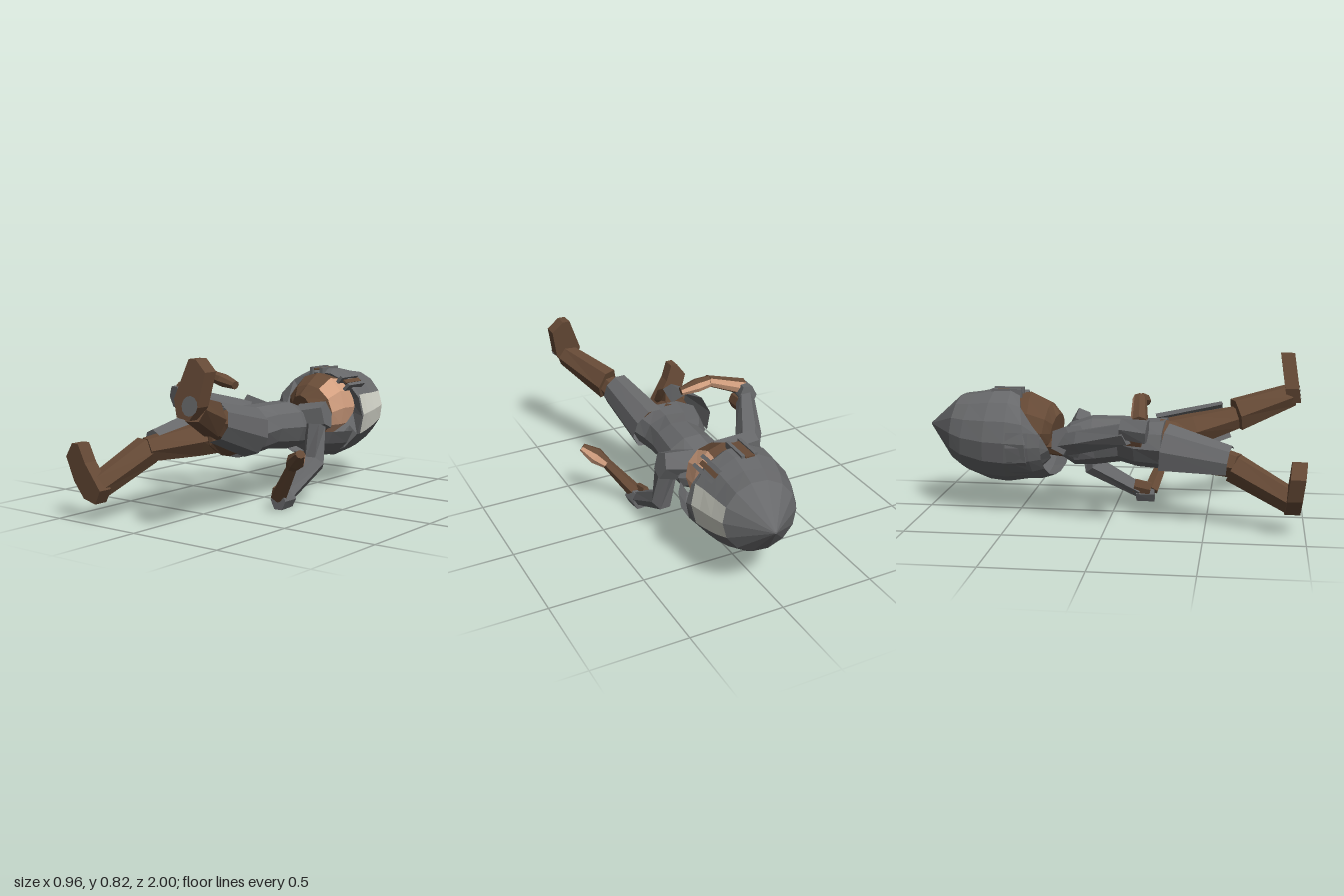
import * as THREE from 'three';

const flat = (name, color) => new THREE.MeshStandardMaterial({ name, color, flatShading: true, side: THREE.DoubleSide });

export function createModel() {
  const grey = flat('grey cloth', 0x67686a);
  const brown = flat('brown', 0x664a36);
  const peach = flat('peach skin', 0xd3a080);
  const cream = flat('cream', 0xd2d3c8);
  const model = new THREE.Group();
  const add = (name, geometry, material) => {
    const mesh = new THREE.Mesh(geometry, material);
    mesh.name = name;
    model.add(mesh);
    return mesh;
  };

  // Faceted loft through stations [x, y, z, halfWidth, halfHeight].
  // pick(station, side) chooses the material; an arc [start, end] in degrees makes an open shell.
  function loft(name, stations, sides, base, { pick = () => base, arc = null } = {}) {
    const centres = stations.map(s => new THREE.Vector3(s[0], s[1], s[2]));
    const start = arc ? arc[0] * Math.PI / 180 : 0;
    const sweep = arc ? (arc[1] - arc[0]) * Math.PI / 180 : Math.PI * 2;
    const rings = stations.map((s, i) => {
      const t = centres[Math.min(i + 1, centres.length - 1)].clone().sub(centres[Math.max(i - 1, 0)]).normalize();
      const side = new THREE.Vector3(0, 1, 0).cross(t).normalize();
      const up = t.clone().cross(side);
      return Array.from({ length: sides + 1 }, (_, j) => {
        const a = start + sweep * j / sides;
        return centres[i].clone().addScaledVector(side, Math.cos(a) * s[3]).addScaledVector(up, Math.sin(a) * s[4]);
      });
    });
    const buckets = new Map();
    const tri = (m, ...pts) => {
      if (!buckets.has(m)) buckets.set(m, []);
      pts.forEach(p => buckets.get(m).push(p.x, p.y, p.z));
    };
    for (let i = 0; i < rings.length - 1; i++) {
      for (let j = 0; j < sides; j++) {
        const [a, b, c, d] = [rings[i][j], rings[i][j + 1], rings[i + 1][j + 1], rings[i + 1][j]];
        tri(pick(i, j), a, b, c);
        tri(pick(i, j), a, c, d);
      }
    }
    if (!arc) {
      const n = rings.length - 1;
      for (let j = 0; j < sides; j++) {
        tri(base, centres[0], rings[0][j + 1], rings[0][j]);
        tri(base, centres[n], rings[n][j], rings[n][j + 1]);
      }
    }
    const geometry = new THREE.BufferGeometry();
    const positions = [];
    const materials = [];
    for (const [m, list] of buckets) {
      geometry.addGroup(positions.length / 3, list.length / 3, materials.length);
      materials.push(m);
      for (const v of list) positions.push(v);
    }
    geometry.setAttribute('position', new THREE.Float32BufferAttribute(positions, 3));
    geometry.computeVertexNormals();
    return add(name, geometry, materials);
  }

  // Hair cap with a cream patch on the left side, and the nape shell
  loft('hair', [
    [0.06, 0.45, -1, 0.005, 0.005], [0.045, 0.44, -0.83, 0.188, 0.184], [0.03, 0.425, -0.75, 0.215, 0.215],
    [0.015, 0.415, -0.64, 0.24, 0.245], [0.015, 0.412, -0.55, 0.252, 0.252],
    [0.02, 0.408, -0.48, 0.262, 0.232], [0.03, 0.42, -0.465, 0.19, 0.19],
  ], 14, grey, { pick: (i, j) => ([1, 2, 3].includes(i) && (j === 0 || j === 13) ? cream : grey) });
  loft('napeHair', [
    [0.02, 0.408, -0.49, 0.262, 0.235], [0, 0.408, -0.37, 0.235, 0.225], [-0.02, 0.408, -0.3, 0.205, 0.2],
  ], 9, grey, { arc: [165, 342] });

  // Raised fringe strands around narrow brown partings
  for (const [x, y, tilt] of [[-0.035, 0.642, 0], [0.032, 0.642, 0], [0.155, 0.606, -0.75], [0.2, 0.568, -0.75]]) {
    const strand = add('fringeStrand', new THREE.BoxGeometry(0.018, 0.045, 0.16), grey);
    strand.position.set(x, y, -0.56);
    strand.rotation.z = tilt;
  }
  for (const [x, y, width, tilt] of [[-0.003, 0.653, 0.05, 0], [0.18, 0.594, 0.025, -0.75]]) {
    const parting = add('fringeParting', new THREE.BoxGeometry(width, 0.009, 0.15), brown);
    parting.position.set(x, y, -0.57);
    parting.rotation.z = tilt;
  }

  // Face and neck, mostly brown with a peach left side
  loft('face', [
    [0.035, 0.45, -0.58, 0.165, 0.17], [0.035, 0.455, -0.45, 0.168, 0.185],
    [0.045, 0.44, -0.36, 0.148, 0.148], [0.03, 0.43, -0.305, 0.085, 0.1],
  ], 12, brown, { pick: (i, j) => ([0, 1, 10, 11].includes(j) && i < 2 ? peach : brown) });
  const leftSide = (i, j) => (j === 0 || j === 7 ? peach : brown);
  loft('neck', [[0.01, 0.36, -0.38, 0.05, 0.05], [0, 0.36, -0.23, 0.07, 0.065]], 8, brown, { pick: leftSide });

  // Tunic and pelvis
  loft('torso', [
    [0.01, 0.37, -0.27, 0.08, 0.07], [0.02, 0.37, -0.22, 0.16, 0.11], [0.035, 0.39, -0.1, 0.15, 0.13],
    [0.03, 0.4, 0.05, 0.14, 0.12], [0, 0.39, 0.15, 0.17, 0.125], [-0.01, 0.39, 0.28, 0.2, 0.13],
  ], 10, grey);
  loft('pelvis', [
    [-0.01, 0.39, 0.25, 0.17, 0.13], [-0.01, 0.39, 0.34, 0.12, 0.11], [-0.01, 0.39, 0.43, 0.015, 0.05],
  ], 8, brown);

  // Shoulders and upper arms
  loft('leftShoulder', [[0.1, 0.41, -0.19, 0.08, 0.09], [0.26, 0.45, -0.205, 0.055, 0.075]], 5, grey);
  loft('rightShoulder', [[-0.08, 0.4, -0.19, 0.07, 0.09], [-0.29, 0.45, -0.23, 0.06, 0.075]], 5, grey);
  loft('leftUpperArm', [[0.21, 0.4, -0.17, 0.055, 0.06], [0.225, 0.2, -0.14, 0.058, 0.06], [0.23, 0.065, 0.12, 0.045, 0.04]], 6, grey);
  loft('rightUpperArm', [[-0.24, 0.42, -0.22, 0.06, 0.065], [-0.3, 0.45, -0.12, 0.068, 0.065], [-0.415, 0.52, 0.12, 0.05, 0.06]], 6, grey);

  // Brown sleeve bands and grey elbow cuffs
  loft('leftSleeveBand', [[0.205, 0.1, 0.09, 0.025, 0.04], [0.21, 0.08, 0.18, 0.025, 0.04]], 6, brown);
  loft('rightSleeveBand', [[-0.38, 0.5, 0.07, 0.035, 0.045], [-0.385, 0.49, 0.19, 0.035, 0.045]], 6, brown);
  loft('leftElbow', [[0.235, 0.053, 0.1, 0.045, 0.05], [0.24, 0.053, 0.2, 0.045, 0.053]], 6, grey);
  loft('rightElbow', [[-0.415, 0.55, 0.09, 0.05, 0.06], [-0.43, 0.535, 0.22, 0.045, 0.065]], 6, grey);

  // Forearms and hands, peach on the outer sides
  loft('leftForearm', [[0.23, 0.07, 0.18, 0.045, 0.04], [0.38, 0.27, 0.26, 0.03, 0.025]], 6, brown);
  loft('leftHand', [[0.365, 0.25, 0.25, 0.033, 0.028], [0.41, 0.29, 0.285, 0.048, 0.045], [0.47, 0.335, 0.33, 0.025, 0.022]], 8, brown, { pick: leftSide });
  loft('rightForearm', [[-0.42, 0.57, 0.18, 0.045, 0.045], [-0.2, 0.66, 0.16, 0.035, 0.03]], 8, brown, { pick: leftSide });
  loft('rightHand', [[-0.22, 0.655, 0.16, 0.035, 0.03], [-0.14, 0.64, 0.17, 0.042, 0.036], [-0.05, 0.62, 0.18, 0.025, 0.022]], 8, brown, { pick: leftSide });

  // Legs with open cloth panels over the outer thighs
  loft('leftThigh', [[0.08, 0.41, 0.28, 0.09, 0.1], [0.11, 0.445, 0.42, 0.09, 0.09], [0.175, 0.5, 0.64, 0.055, 0.065]], 6, brown);
  loft('rightThigh', [[-0.1, 0.37, 0.28, 0.09, 0.1], [-0.13, 0.36, 0.42, 0.1, 0.09], [-0.23, 0.33, 0.66, 0.06, 0.065]], 6, brown);
  loft('leftThighPanel', [[0.095, 0.4, 0.25, 0.115, 0.13], [0.145, 0.495, 0.59, 0.085, 0.1]], 5, grey, { arc: [-95, 115] });
  loft('rightThighPanel', [[-0.15, 0.38, 0.29, 0.13, 0.145], [-0.215, 0.34, 0.62, 0.078, 0.09]], 4, grey, { arc: [46, 214] });
  loft('leftShin', [[0.18, 0.515, 0.64, 0.07, 0.095], [0.31, 0.605, 0.93, 0.06, 0.065]], 6, brown);
  loft('rightShin', [[-0.245, 0.325, 0.64, 0.075, 0.078], [-0.305, 0.175, 0.93, 0.058, 0.068]], 6, brown);

  // Feet: sole outlines facing forward, leaned toward the toes
  function foot(name, outline, lean, heelY, heelZ) {
    const shape = new THREE.Shape(outline.map(p => new THREE.Vector2(...p)));
    const geometry = new THREE.ExtrudeGeometry(shape, { depth: 0.075, bevelEnabled: false });
    const p = geometry.attributes.position;
    for (let i = 0; i < p.count; i++) p.setZ(i, p.getZ(i) - 0.075 + heelZ + (p.getY(i) - heelY) * lean);
    geometry.computeVertexNormals();
    add(name, geometry, brown);
  }
  foot('leftFoot', [[0.3, 0.83], [0.235, 0.65], [0.26, 0.57], [0.335, 0.56], [0.375, 0.62], [0.402, 0.775], [0.34, 0.83]], -0.15, 0.56, 0.985);
  foot('rightFoot', [[-0.45, 0.32], [-0.41, 0.2], [-0.355, 0.12], [-0.28, 0.1], [-0.24, 0.17], [-0.325, 0.3], [-0.36, 0.39], [-0.4, 0.39]], 0.1, 0.1, 0.97);

  // Grey sole spot
  const spot = add('soleSpot', new THREE.CircleGeometry(0.046, 12), grey);
  spot.position.set(0.332, 0.625, 0.979);
  spot.rotation.x = -0.149;

  return model;
}
